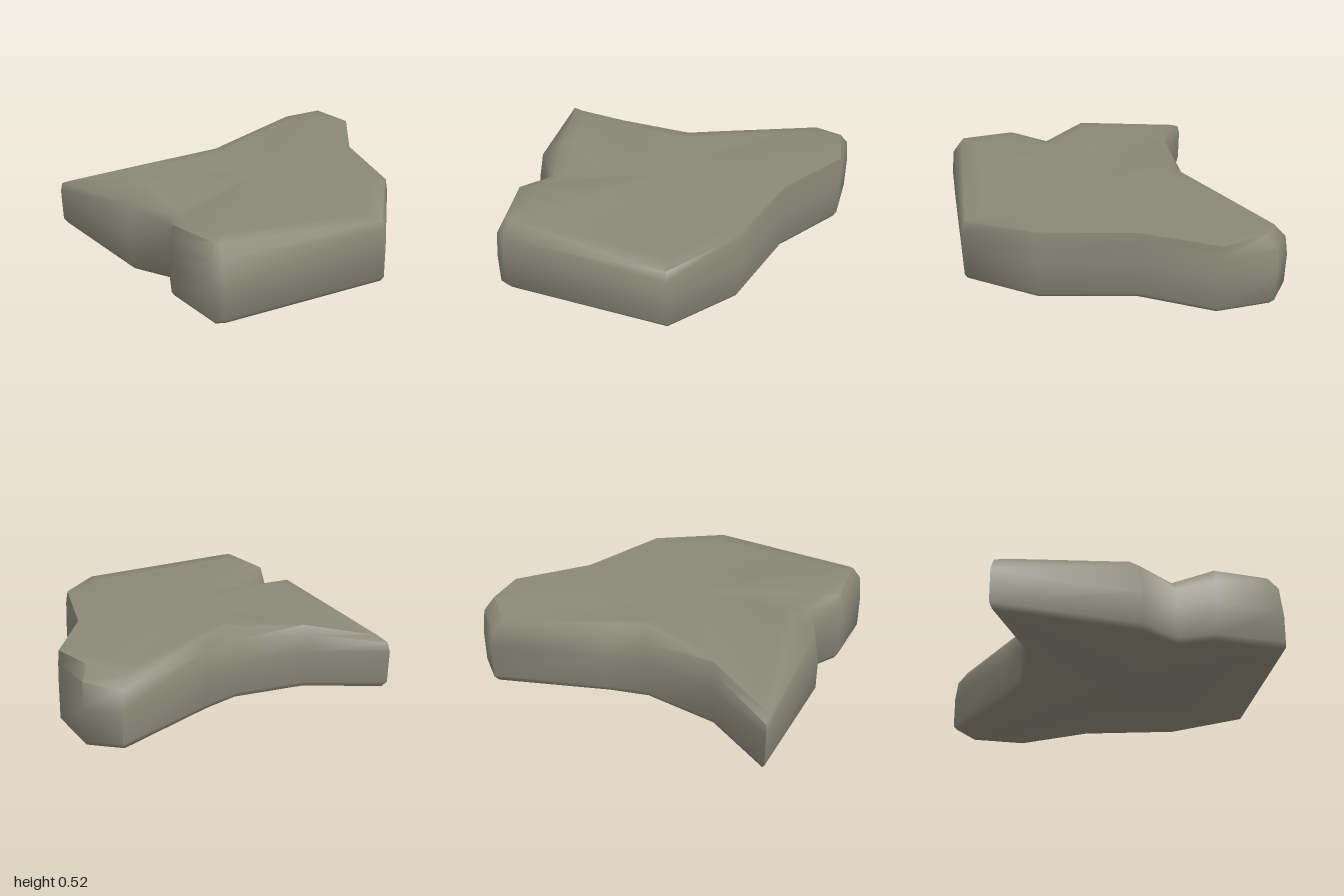
import * as THREE from 'three';
import { toCreasedNormals } from 'three/addons/utils/BufferGeometryUtils.js';

// Outline of the slab: widest point [x, z], then top rim [x, y, z]
const OUTLINE = [
  [-0.855, -0.84, -0.79, 0.43, -0.77],
  [-0.70, -1.0, -0.64, 0.48, -0.94],
  [-0.355, -0.97, -0.36, 0.47, -0.965],
  [0.03, -0.65, 0.03, 0.465, -0.64],
  [0.60, -0.44, 0.59, 0.465, -0.43],
  [0.96, -0.08, 0.93, 0.42, -0.07],
  [0.78, 0.95, 0.71, 0.485, 0.92],
  [0.75, 1.0, 0.69, 0.49, 0.95],
  [0.33, 1.0, 0.34, 0.47, 0.975],
  [0.14, 0.89, 0.13, 0.43, 0.83],
  [-0.11, 1.0, -0.13, 0.525, 0.84],
  [-0.965, 1.0, -0.88, 0.34, 0.97],
  [-0.69, 0.58, -0.655, 0.42, 0.56],
  [-0.60, 0.10, -0.51, 0.46, 0.07],
  [-0.65, -0.15, -0.58, 0.455, -0.15],
];
const MID_Y = 0.25;
const BOTTOM = new THREE.Vector3(0, 0, 0.1);
const TOP = new THREE.Vector3(0, 0.46, 0.1);

// Rings of points from the underside centre up to the top centre
function makeRings() {
  const mid = OUTLINE.map(([x, z]) => new THREE.Vector3(x, MID_Y, z));
  const rim = OUTLINE.map(([, , x, y, z]) => new THREE.Vector3(x, y, z));
  const flat = (y, inset) => mid.map((p) => p.clone().lerp(BOTTOM, inset).setY(y));
  const shoulder = mid.map((p, i) => {
    const s = p.clone().lerp(rim[i], 0.2);
    return s.setY(THREE.MathUtils.lerp(MID_Y, rim[i].y, 0.65));
  });
  const towardTop = (t) => rim.map((p) => p.clone().lerp(TOP, t));
  return [
    mid.map(() => BOTTOM), flat(0.015, 0.05), flat(0.02, 0.025), flat(0.05, 0.003),
    mid, shoulder, rim, towardTop(0.12), towardTop(0.5), mid.map(() => TOP),
  ];
}

function slabGeometry() {
  const rings = makeRings();
  const n = OUTLINE.length;
  const points = [];
  for (let k = 0; k < rings.length - 1; k++) {
    for (let i = 0; i < n; i++) {
      const j = (i + 1) % n;
      const [a, b] = [rings[k][i], rings[k][j]];
      const [c, d] = [rings[k + 1][i], rings[k + 1][j]];
      if (k > 0) points.push(a, c, b);
      if (k < rings.length - 2) points.push(b, c, d);
    }
  }
  const geometry = new THREE.BufferGeometry().setFromPoints(points);
  return toCreasedNormals(geometry, 1.15);
}

export function createModel() {
  const group = new THREE.Group();
  group.name = 'flatRock';
  const stone = new THREE.MeshStandardMaterial({ color: 0x8a8978 });
  stone.name = 'stone';

  // Stone slab
  const slab = new THREE.Mesh(slabGeometry(), stone);
  slab.name = 'slab';
  group.add(slab);
  return group;
}
